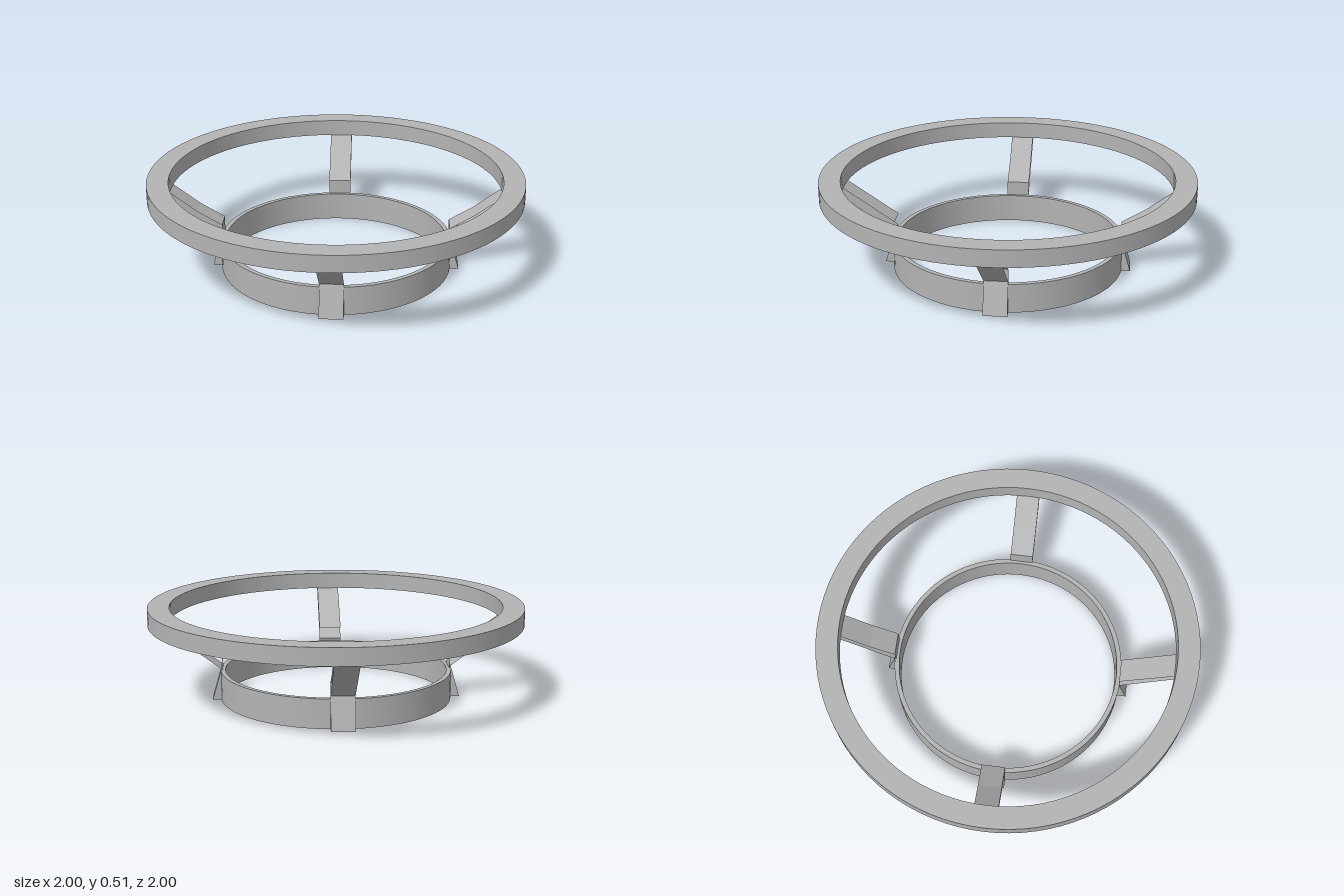
import * as THREE from 'three';
import { toCreasedNormals } from 'three/addons/utils/BufferGeometryUtils.js';

const HALF = 0.062; // half width of the arms

// Ring with a rectangular section
function ringGeometry(inner, outer, bottom, top) {
  const section = [[inner, bottom], [outer, bottom], [outer, top], [inner, top], [inner, bottom]]
    .map(([r, y]) => new THREE.Vector2(r, y));
  return toCreasedNormals(new THREE.LatheGeometry(section, 96), 0.6);
}

// Flat-faced strip of constant width along a [radius, height] path
function stripGeometry(path) {
  const pos = [];
  for (let i = 0; i < path.length - 1; i++) {
    const [r0, y0] = path[i], [r1, y1] = path[i + 1];
    const a = [-HALF, y0, r0], b = [HALF, y0, r0], c = [HALF, y1, r1], d = [-HALF, y1, r1];
    pos.push(...a, ...b, ...c, ...a, ...c, ...d);
  }
  const g = new THREE.BufferGeometry();
  g.setAttribute('position', new THREE.Float32BufferAttribute(pos, 3));
  g.computeVertexNormals();
  return g;
}

// Wedge-shaped foot against the lower ring
function footGeometry() {
  const shape = new THREE.Shape([[0.608, 0], [0.665, 0], [0.62, 0.155], [0.608, 0.155]]
    .map(([r, y]) => new THREE.Vector2(r, y)));
  const g = new THREE.ExtrudeGeometry(shape, { depth: 2 * HALF, bevelEnabled: false });
  g.translate(0, 0, -HALF);
  g.rotateY(-Math.PI / 2);
  return g;
}

export function createModel() {
  const model = new THREE.Group();
  const grey = new THREE.MeshStandardMaterial({ color: 0xb4b4b4, side: THREE.DoubleSide });
  grey.name = 'grey metal';

  const add = (parent, name, geometry) => {
    const mesh = new THREE.Mesh(geometry, grey);
    mesh.name = name;
    parent.add(mesh);
  };

  add(model, 'upperRing', ringGeometry(0.885, 1, 0.42, 0.51));
  add(model, 'lowerRing', ringGeometry(0.595, 0.62, 0, 0.155));

  // Four open-sided arms joining the rings; the front one has no inner end plate
  const foot = footGeometry();
  const underside = stripGeometry([[0.62, 0.155], [0.615, 0.17], [0.95, 0.42]]);
  const plainTop = stripGeometry([[0.885, 0.42], [0.61, 0.235]]);
  const bentTop = stripGeometry([[0.885, 0.42], [0.74, 0.312], [0.61, 0.235]]);
  const endPlate = stripGeometry([[0.61, 0.235], [0.61, 0.155]]);
  ['front', 'left', 'back', 'right'].forEach((side, i) => {
    const arm = new THREE.Group();
    arm.name = side + 'Arm';
    arm.rotation.y = i * Math.PI / 2;
    add(arm, 'foot', foot);
    add(arm, 'armUnderside', underside);
    add(arm, 'armTop', i === 0 ? plainTop : bentTop);
    if (i > 0) add(arm, 'armEndPlate', endPlate);
    model.add(arm);
  });

  return model;
}
